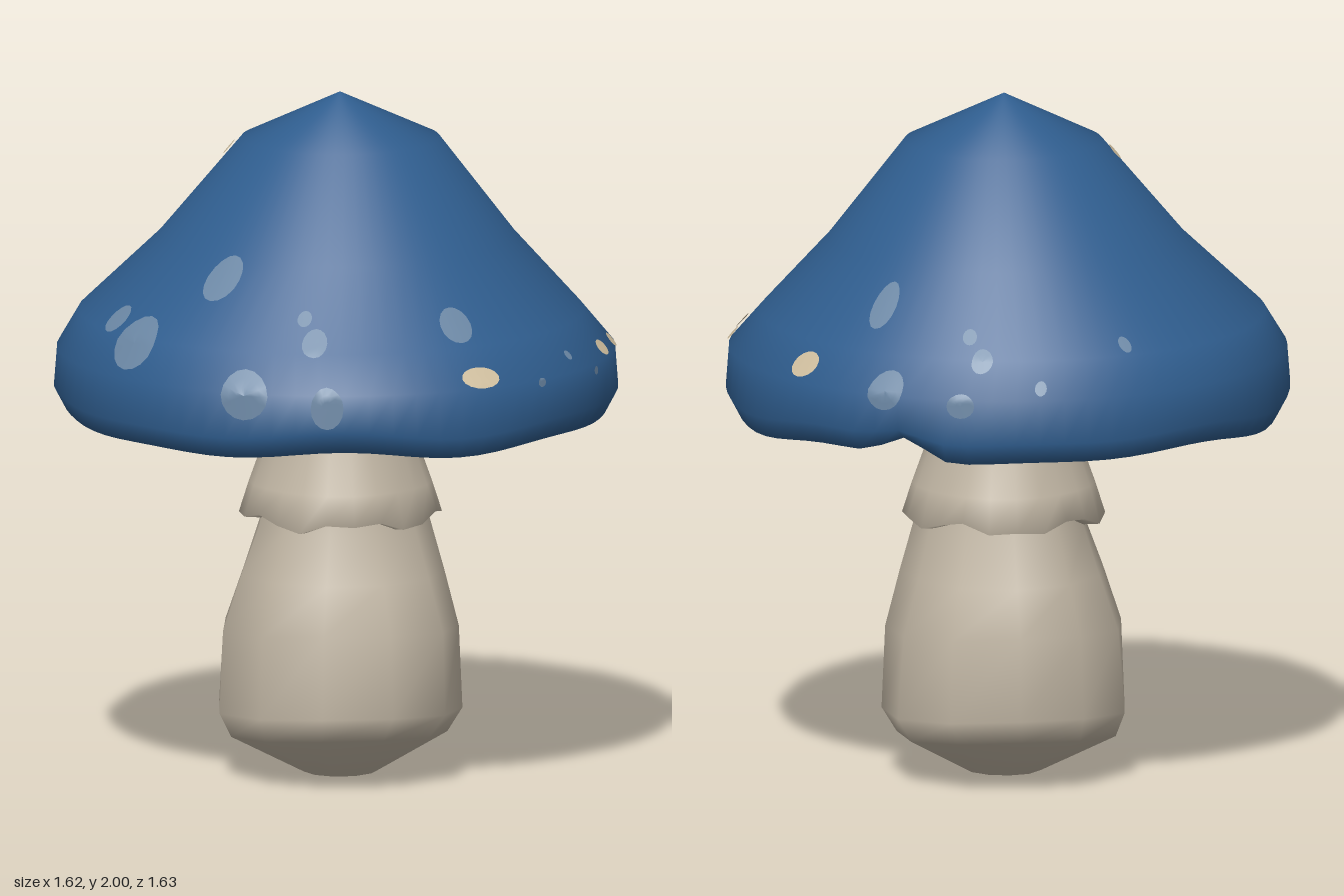
import * as THREE from 'three';

const mat = (name, color, side = THREE.FrontSide) => {
  const m = new THREE.MeshStandardMaterial({ color, side });
  m.name = name;
  return m;
};

// Closed loft: point(i, a) gives the corner of row i at angle a.
function loft(rows, n, point) {
  const pos = [], index = [];
  for (let i = 0; i < rows; i++) {
    for (let j = 0; j < n; j++) {
      pos.push(...point(i, (j / n) * Math.PI * 2));
      if (i === rows - 1) continue;
      const k = (j + 1) % n;
      const a = i * n + j, b = i * n + k, c = a + n, d = b + n;
      index.push(a, c, b, b, c, d);
    }
  }
  const g = new THREE.BufferGeometry();
  g.setAttribute('position', new THREE.Float32BufferAttribute(pos, 3));
  g.setIndex(index);
  g.computeVertexNormals();
  return g;
}

const polar = (a, r, y, dx = 0, dz = 0) => [Math.sin(a) * r + dx, y, Math.cos(a) * r + dz];

// Cap rows: height, radius, offset in x, offset in z
const CAP = [
  [2.0, 0, 0.01, -0.01], [1.865, 0.285, 0.01, -0.025], [1.58, 0.515, 0, -0.02],
  [1.365, 0.727, -0.015, -0.01], [1.26, 0.803, 0, 0], [1.135, 0.812, 0, 0],
  [1.075, 0.78, 0, 0], [1.085, 0.735, 0, 0],
];
const NOTCH = Math.atan2(0.2, -0.78);
const rimWave = (a) => 0.009 * Math.sin(5 * a + 1) + 0.007 * Math.sin(8 * a);
const notch = (a) => {
  const d = Math.atan2(Math.sin(a - NOTCH), Math.cos(a - NOTCH));
  return Math.exp(-((d / 0.11) ** 2));
};

function capPoint(i, a) {
  const [y, r, dx, dz] = CAP[i];
  const low = Math.max(0, i - 4);
  const lift = low ? rimWave(a) + notch(a) * 0.03 * low : 0;
  const pull = low ? notch(a) * 0.012 * low : 0;
  return polar(a, r - pull, y + lift, dx, dz);
}

// Point on the cap's skin at an angle and height, raised slightly
function onCap(a, y) {
  let i = 0;
  while (i < 5 && CAP[i + 1][0] > y) i++;
  const t = (y - CAP[i][0]) / (CAP[i + 1][0] - CAP[i][0]);
  const m = (k) => CAP[i][k] + (CAP[i + 1][k] - CAP[i][k]) * t;
  return polar(a, m(1) + 0.007, y + 0.004, m(2), m(3));
}

function spot([x, z, y, w, h]) {
  const a0 = Math.atan2(x, z), r = Math.hypot(x, z);
  return loft(4, 16, (i, p) =>
    onCap(a0 + (w / r) * (i / 3) * Math.cos(p), y + h * (i / 3) * Math.sin(p)));
}

// Spots: direction x, z, then height, half width, half height
const GREY_SPOTS = [
  [-0.24, 0.48, 1.535, 0.052, 0.058], [-0.47, 0.53, 1.35, 0.075, 0.07],
  [-0.55, 0.42, 1.395, 0.04, 0.035], [-0.15, 0.78, 1.25, 0.07, 0.07],
  [0.01, 0.63, 1.45, 0.02, 0.02], [0.05, 0.68, 1.39, 0.035, 0.036],
  [0.09, 0.8, 1.22, 0.047, 0.06], [0.43, 0.52, 1.42, 0.05, 0.045],
  [0.65, 0.45, 1.25, 0.015, 0.013], [0.73, 0.3, 1.3, 0.014, 0.012],
  [0.78, 0.2, 1.24, 0.013, 0.012], [0.27, -0.53, 1.48, 0.038, 0.06],
  [-0.02, -0.72, 1.36, 0.03, 0.032], [0.02, -0.66, 1.42, 0.02, 0.02],
  [-0.2, -0.75, 1.29, 0.017, 0.02], [-0.4, -0.56, 1.39, 0.018, 0.02],
  [0.25, -0.77, 1.27, 0.055, 0.055], [0.02, -0.8, 1.24, 0.04, 0.035],
];
const PALE_SPOTS = [
  [0.5, 0.59, 1.285, 0.06, 0.027], [0.79, 0.08, 1.285, 0.035, 0.02],
  [0.79, -0.07, 1.28, 0.03, 0.018], [0.52, -0.6, 1.305, 0.05, 0.034],
  [-0.31, 0.03, 1.83, 0.02, 0.02],
];

// Stem rows: height, radius, offset in x, offset in z
const STEM = [
  [1.18, 0.185, 0.01, 0], [1.03, 0.2, 0.01, -0.01], [0.9, 0.215, 0.01, -0.02],
  [0.74, 0.25, 0.015, -0.02], [0.6, 0.295, 0.012, -0.02], [0.45, 0.345, 0.01, -0.02],
  [0.21, 0.358, 0.01, -0.02], [0.14, 0.32, 0, -0.02], [0.015, 0.11, 0.01, -0.01],
  [0, 0, 0.01, -0.02],
];
// Skirt rows: height, radius; the last row tucks back under
const SKIRT = [[1.06, 0.2], [0.98, 0.215], [0.86, 0.257], [0.77, 0.285], [0.765, 0.235]];

export function createModel() {
  const blue = mat('cap blue', 0x2f5d8e);
  const grey = mat('spot grey blue', 0x6a86a3, THREE.DoubleSide);
  const pale = mat('pale spot', 0xd0bf9f, THREE.DoubleSide);
  const cream = mat('stem cream', 0xc2b7a5, THREE.DoubleSide);

  const group = new THREE.Group();
  group.name = 'mushroom';
  const add = (name, geometry, material, parent = group) => {
    const mesh = new THREE.Mesh(geometry, material);
    mesh.name = name;
    parent.add(mesh);
  };

  add('cap', loft(CAP.length, 72, capPoint), blue);

  // Gills rise from the rim to the stem with soft radial ripples
  add('gills', loft(4, 72, (i, a) => {
    const t = i / 3;
    const rim = capPoint(CAP.length - 1, a);
    const ripple = (i === 1 || i === 2) ? 0.007 * Math.sin(24 * a) : 0;
    return [rim[0] * (1 - 0.78 * t), rim[1] + (1.28 - rim[1]) * t + ripple, rim[2] * (1 - 0.78 * t)];
  }), cream);

  const spots = new THREE.Group();
  spots.name = 'spots';
  group.add(spots);
  GREY_SPOTS.forEach((s) => add('greySpot', spot(s), grey, spots));
  PALE_SPOTS.forEach((s) => add('paleSpot', spot(s), pale, spots));

  // Bulbous, slightly uneven stem
  add('stem', loft(STEM.length, 11, (i, a) => {
    const [y, r, dx, dz] = STEM[i];
    const bulge = 1 + 0.02 * Math.sin(3 * a + i);
    const sway = i > 4 && i < 8 ? 0.015 * Math.sin(2 * a + 1) : 0;
    return polar(a, r * bulge, y + sway, dx, dz);
  }), cream);

  // Tinted collar where the stem meets the gills
  add('stemCollar', loft(2, 22, (i, a) => polar(a, i ? 0.188 : 0.178, i ? 1.17 : 1.3, 0.01, 0)), grey);

  // Ragged skirt around the upper stem
  add('skirt', loft(SKIRT.length, 22, (i, a) => {
    const [y, r] = SKIRT[i];
    const ragged = i > 2 ? 0.014 * Math.sin(5 * a) + 0.01 * Math.sin(9 * a + 2) : 0;
    return polar(a, r * (1 + 0.025 * Math.sin(4 * a + 1)), y + ragged, 0.01, -0.02);
  }), cream);

  return group;
}
